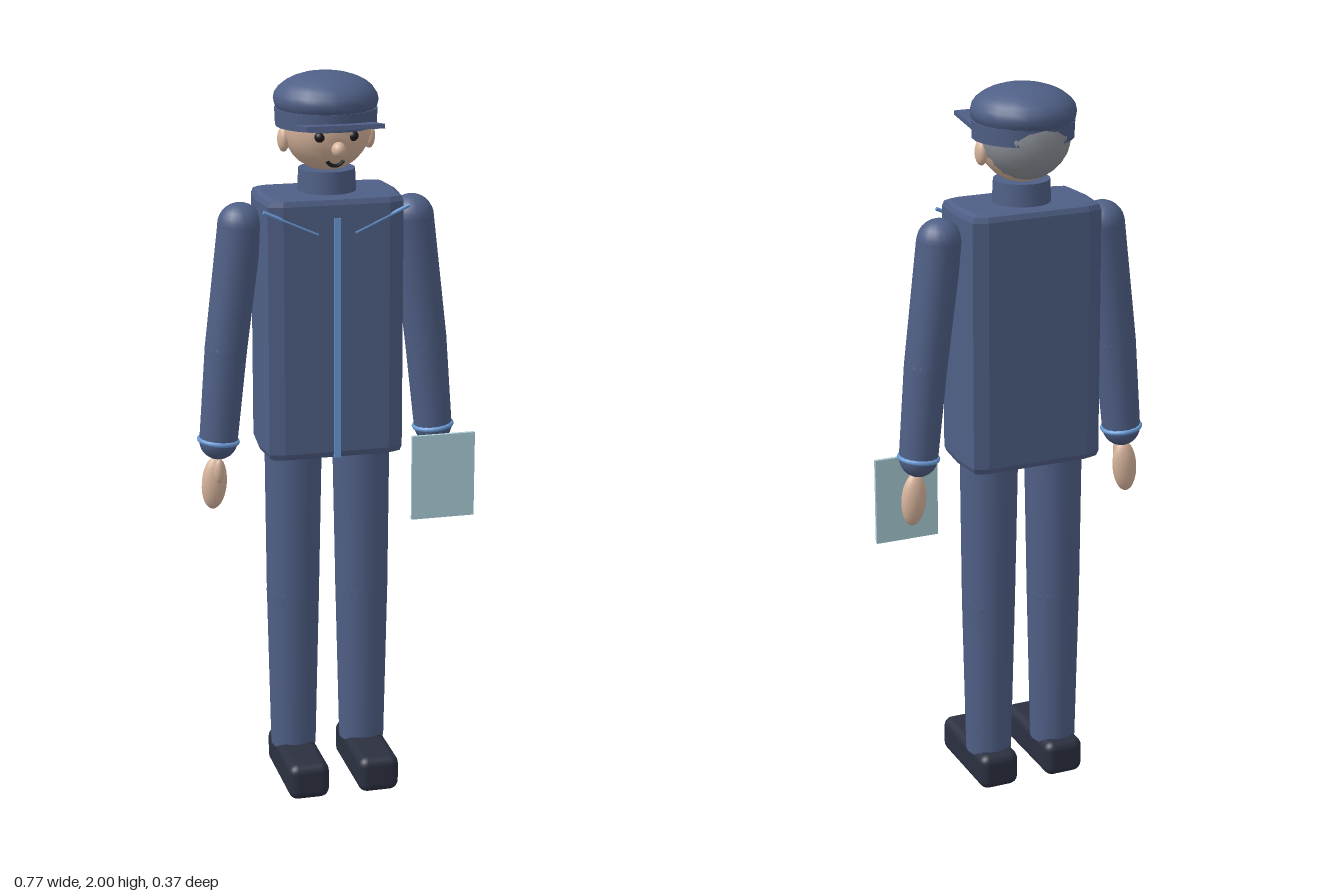
import * as THREE from 'three';
import { RoundedBoxGeometry } from 'three/addons/geometries/RoundedBoxGeometry.js';

const mat = (name, color) => {
  const m = new THREE.MeshStandardMaterial({ color });
  m.name = name;
  return m;
};

export function createModel() {
  const navy = mat('navy cloth', 0x4f5f86);
  const trim = mat('light blue trim', 0x6a9bd8);
  const skin = mat('skin', 0xd8b59d);
  const grey = mat('grey hair', 0x8e9299);
  const shoe = mat('dark shoe', 0x2b3040);
  const black = mat('black', 0x1a1a20);
  const board = mat('pale blue board', 0xa9cbd6);

  const model = new THREE.Group();
  model.name = 'uniformedFigure';
  // The figure stands a little to its right, so the board stays in balance
  const body = new THREE.Group();
  body.name = 'body';
  body.position.set(-0.025, 0, -0.027);
  model.add(body);

  const add = (name, geo, material, x = 0, y = 0, z = 0, parent = body) => {
    const m = new THREE.Mesh(geo, material);
    m.name = name;
    m.position.set(x, y, z);
    parent.add(m);
    return m;
  };
  const ball = (name, material, x, y, z, rx, ry = rx, rz = rx) => {
    const m = add(name, new THREE.SphereGeometry(1, 20, 14), material, x, y, z);
    m.scale.set(rx, ry, rz);
    return m;
  };
  // Tapered rod between two points
  const rod = (name, material, a, b, ra, rb) => {
    const p = new THREE.Vector3(...a), q = new THREE.Vector3(...b);
    const d = q.clone().sub(p);
    const m = add(name, new THREE.CylinderGeometry(rb, ra, d.length(), 16), material);
    m.position.copy(p).add(q).multiplyScalar(0.5);
    m.quaternion.setFromUnitVectors(new THREE.Vector3(0, 1, 0), d.normalize());
    return m;
  };

  // Jacket: chamfered outline extruded upwards
  const quarter = [[0.168, 0.09], [0.142, 0.098]];
  const outline = [
    [0.176, 0], ...quarter,
    ...quarter.map(([x, y]) => [-x, y]).reverse(),
    [-0.176, 0],
    ...quarter.map(([x, y]) => [-x, -y]),
    ...quarter.map(([x, y]) => [x, -y]).reverse(),
  ].map(([x, y]) => new THREE.Vector2(x, y));
  const jacketGeo = new THREE.ExtrudeGeometry(new THREE.Shape(outline), {
    depth: 0.68, bevelThickness: 0.02, bevelSize: 0.018, bevelSegments: 2,
  });
  jacketGeo.rotateX(-Math.PI / 2);
  add('jacket', jacketGeo, navy, 0, 0.985, 0);
  add('zip', new THREE.BoxGeometry(0.018, 0.66, 0.012), trim, 0, 1.3, 0.117);
  add('collar', new THREE.CylinderGeometry(0.076, 0.082, 0.12, 20), navy, 0, 1.685, 0);

  for (const s of [-1, 1]) {
    const side = s > 0 ? 'left' : 'right';
    rod(side + 'Piping', trim, [s * 0.198, 1.655, 0.112], [s * 0.05, 1.588, 0.112], 0.005, 0.005);

    // Arm
    const shoulder = [s * 0.237, 1.6, -0.003];
    const elbow = [s * 0.28, 1.26, -0.003];
    const wrist = [s * 0.304, 1.005, -0.003];
    ball(side + 'Shoulder', navy, ...shoulder, 0.061);
    rod(side + 'UpperArm', navy, elbow, shoulder, 0.058, 0.061);
    ball(side + 'Elbow', navy, ...elbow, 0.058);
    rod(side + 'Forearm', navy, wrist, elbow, 0.053, 0.058);
    ball(side + 'SleeveEnd', navy, ...wrist, 0.053);
    const cuff = add(side + 'Cuff', new THREE.TorusGeometry(0.052, 0.007, 8, 20), trim, ...wrist);
    cuff.rotation.set(Math.PI / 2, s * 0.1, 0);

    // Hand with thumb
    const hand = ball(side + 'Hand', skin, s * 0.318, 0.885, 0.0, 0.035, 0.075, 0.026);
    hand.rotation.z = s * 0.08;
    ball(side + 'Thumb', skin, s * 0.309, 0.925, 0.025, 0.014, 0.034, 0.014);

    // Leg and shoe
    const x = s * 0.099;
    rod(side + 'Thigh', navy, [x, 0.55, 0], [s * 0.096, 1.0, 0], 0.074, 0.08);
    ball(side + 'Knee', navy, x, 0.55, 0, 0.074);
    rod(side + 'Shin', navy, [s * 0.1, 0.09, 0], [x, 0.55, 0], 0.064, 0.074);
    add(side + 'Shoe', new RoundedBoxGeometry(0.115, 0.104, 0.302, 3, 0.026), shoe, s * 0.1, 0.052, 0.06);

    // Ear and eye
    ball(side + 'Ear', skin, s * 0.117, 1.825, -0.003, 0.016, 0.034, 0.023);
    ball(side + 'Eye', black, s * 0.045, 1.846, 0.108, 0.014);
  }

  // Head
  ball('head', skin, 0, 1.863, 0, 0.12, 0.125, 0.124);
  ball('hair', grey, 0, 1.873, -0.023, 0.121, 0.125, 0.125);
  ball('nose', skin, 0, 1.815, 0.132, 0.019, 0.021, 0.022);
  const mouth = add('mouth', new THREE.TorusGeometry(0.025, 0.005, 6, 14, Math.PI * 0.7), black, 0, 1.791, 0.094);
  mouth.rotation.z = Math.PI * 1.15;

  // Cap
  ball('capCrown', navy, 0, 1.928, -0.01, 0.14, 0.072, 0.146);
  add('capBand', new THREE.CylinderGeometry(0.137, 0.135, 0.047, 24), navy, 0, 1.882, -0.008);
  const visor = add('capVisor', new THREE.BoxGeometry(0.208, 0.012, 0.19), navy, 0, 1.874, 0.114);
  visor.rotation.x = -0.13;

  // Board held in the left hand
  add('clipboard', new THREE.BoxGeometry(0.18, 0.242, 0.01), board, 0.293, 0.871, 0.028, model);

  return model;
}
